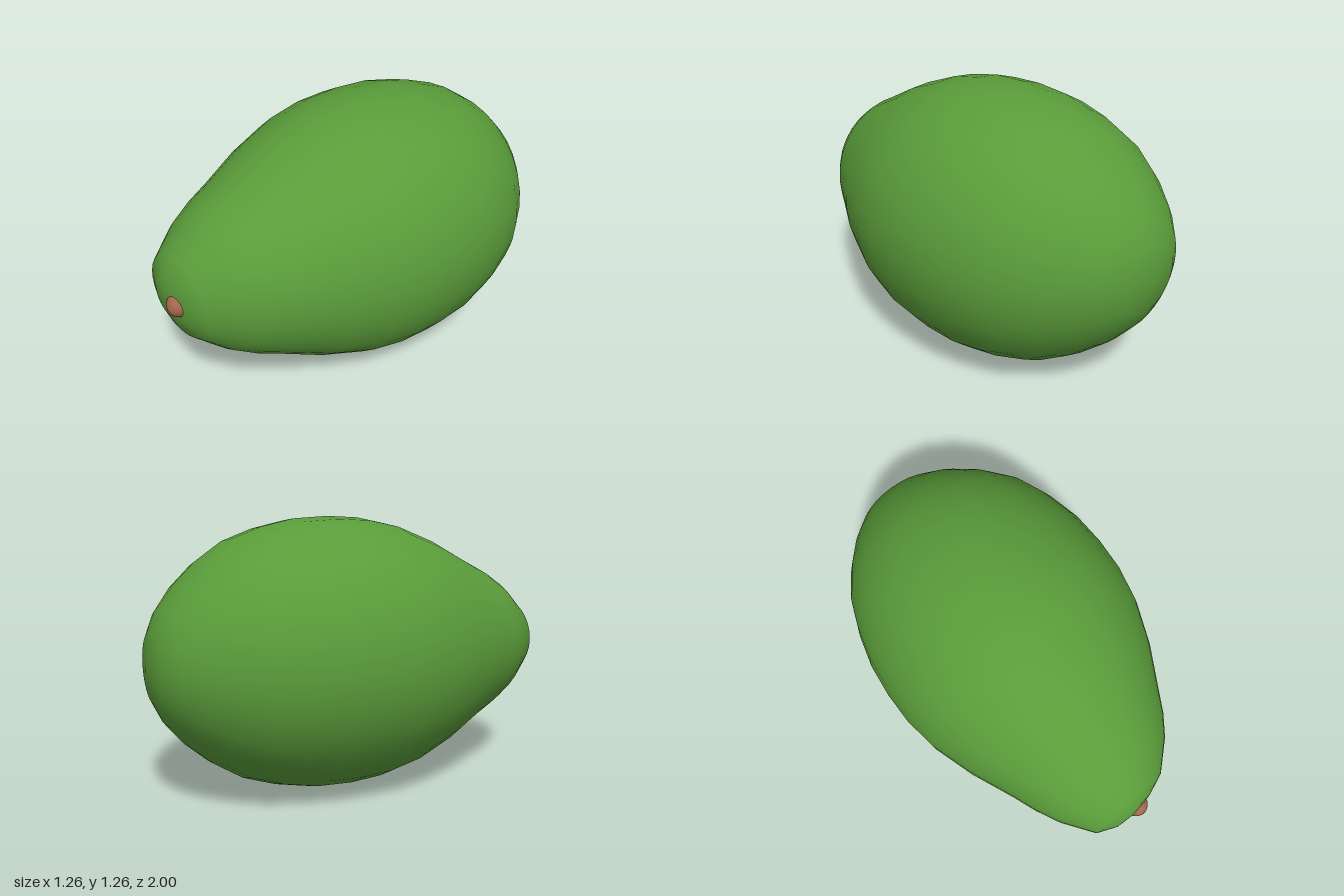
import * as THREE from 'three';
import { mergeVertices } from 'three/addons/utils/BufferGeometryUtils.js';

const skin = new THREE.MeshStandardMaterial({ name: 'green skin', color: 0x5a9c3a });
const stemBrown = new THREE.MeshStandardMaterial({ name: 'reddish brown stem', color: 0xa5654f });

const CENTRE_Y = 0.633;

// [radius, z] from the broad back end to the narrow stem end
const PROFILE = [
  [0, -0.998], [0.155, -0.97], [0.253, -0.92], [0.35, -0.84], [0.447, -0.73],
  [0.531, -0.6], [0.585, -0.45], [0.62, -0.29], [0.63, -0.12], [0.622, 0.04],
  [0.59, 0.2], [0.515, 0.4], [0.42, 0.59], [0.368, 0.7], [0.307, 0.8],
  [0.197, 0.925], [0.1, 0.965], [0, 0.977],
];

function fruitGeometry() {
  const points = PROFILE.map(([r, z]) => new THREE.Vector2(r, z));
  let geo = new THREE.LatheGeometry(points, 32);
  geo.rotateX(Math.PI / 2); // lay the axis along z
  geo.deleteAttribute('uv');
  geo.deleteAttribute('normal');
  geo = mergeVertices(geo, 1e-4); // close the seam for smooth shading

  // Slight natural lean: both ends drift sideways, the stem end is cut askew
  const p = geo.attributes.position;
  for (let i = 0; i < p.count; i++) {
    const x = p.getX(i), y = p.getY(i), z = p.getZ(i);
    const back = Math.max(0, -z) ** 4;
    const front = Math.max(0, z) ** 6;
    p.setXYZ(i, x - 0.045 * back - 0.01 * front, y - 0.008 * front, z - 0.18 * front * x);
  }
  geo.computeVertexNormals();
  return geo;
}

export function createModel() {
  const group = new THREE.Group();
  group.name = 'fruit';

  const body = new THREE.Mesh(fruitGeometry(), skin);
  body.name = 'body';
  body.position.y = CENTRE_Y;
  group.add(body);

  // Small round stem stub set into the narrow end
  const stem = new THREE.Mesh(new THREE.SphereGeometry(0.054, 16, 12), stemBrown);
  stem.name = 'stem';
  stem.position.set(0.02, 0.614, 0.946);
  group.add(stem);

  return group;
}
